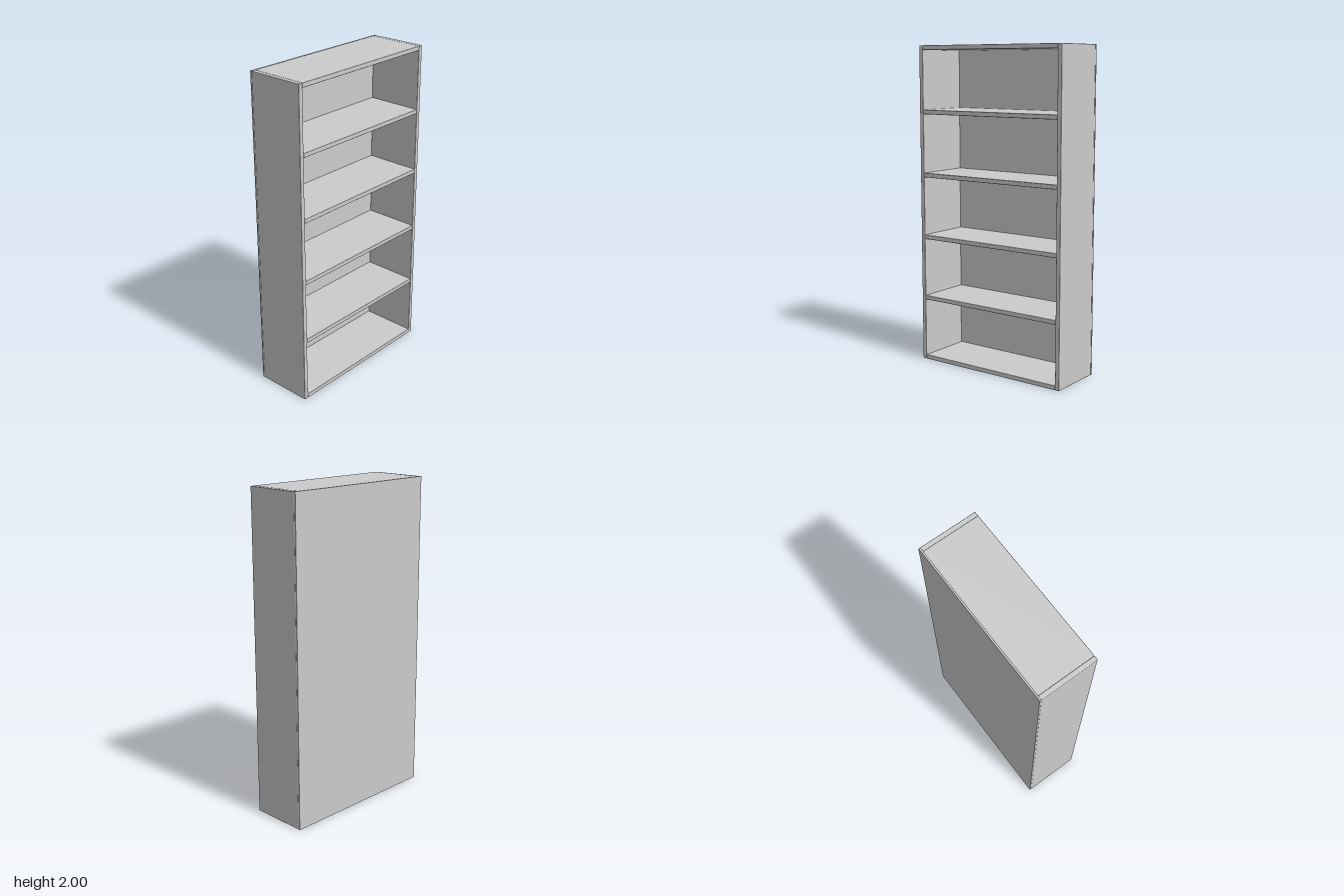
import * as THREE from 'three';
import { RoundedBoxGeometry } from 'three/addons/geometries/RoundedBoxGeometry.js';

const WIDTH = 1.05, HEIGHT = 2, DEPTH = 0.368;
const BOARD = 0.028;      // shelf and side thickness
const BACK = 0.01;        // back panel thickness
const BEVEL = 0.004;      // softened board edges

export function createModel() {
  const group = new THREE.Group();
  group.name = 'bookcase';
  const material = new THREE.MeshStandardMaterial({ color: 0xcccccc });

  const board = (name, w, h, d, x, y, z, geometry) => {
    const mesh = new THREE.Mesh(geometry ?? new RoundedBoxGeometry(w, h, d, 2, BEVEL), material);
    mesh.name = name;
    mesh.position.set(x, y, z);
    group.add(mesh);
  };

  const boardDepth = DEPTH - BACK;
  const boardZ = BACK / 2;

  // Upright sides
  for (const side of [-1, 1]) {
    board(side > 0 ? 'leftSide' : 'rightSide', BOARD, HEIGHT, boardDepth,
      side * (WIDTH - BOARD) / 2, HEIGHT / 2, boardZ);
  }

  // Base, four shelves and top, evenly spaced between the sides
  const names = ['base', 'shelf1', 'shelf2', 'shelf3', 'shelf4', 'top'];
  const step = (HEIGHT - BOARD) / (names.length - 1);
  names.forEach((name, i) => {
    board(name, WIDTH - 2 * BOARD, BOARD, boardDepth, 0, BOARD / 2 + i * step, boardZ);
  });

  // Thin panel closing the back
  board('backPanel', WIDTH, HEIGHT, BACK, 0, HEIGHT / 2, -(DEPTH - BACK) / 2,
    new THREE.BoxGeometry(WIDTH, HEIGHT, BACK));

  return group;
}
